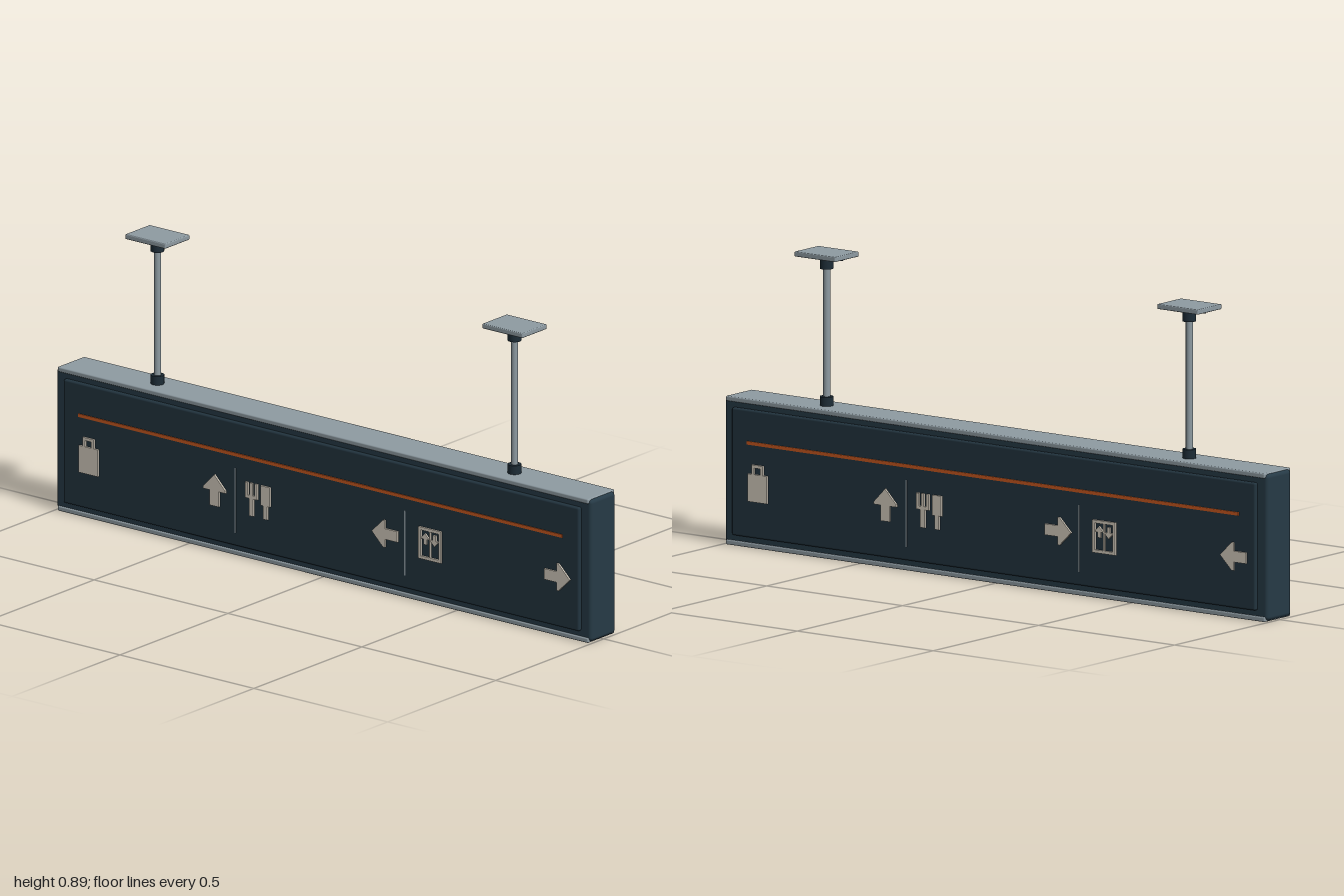
import * as THREE from 'three';
import { RoundedBoxGeometry } from 'three/addons/geometries/RoundedBoxGeometry.js';

const mat = (name, color) => Object.assign(new THREE.MeshStandardMaterial({ color }), { name });

export function createModel() {
  const navy = mat('navy casing', 0x263a46);
  const panelNavy = mat('panel navy', 0x22343f);
  const dark = mat('dark fittings', 0x1d2c36);
  const silver = mat('brushed silver', 0x8e9ba2);
  const cream = mat('cream pictogram', 0xd5cdbf);
  const orange = mat('orange stripe', 0xc8581f);

  const sign = new THREE.Group();
  sign.name = 'hangingSign';

  const add = (parent, name, geometry, material, x = 0, y = 0, z = 0) => {
    const mesh = new THREE.Mesh(geometry, material);
    mesh.name = name;
    mesh.position.set(x, y, z);
    parent.add(mesh);
    return mesh;
  };
  const group = (parent, name) => {
    const g = new THREE.Group();
    g.name = name;
    parent.add(g);
    return g;
  };

  // Casing with silver rails along its top and bottom
  add(sign, 'casing', new RoundedBoxGeometry(2, 0.434, 0.114, 3, 0.012), navy, 0, 0.22, 0);
  for (const [name, y] of [['bottomRail', 0.0075], ['topRail', 0.4325]]) {
    add(sign, name, new RoundedBoxGeometry(1.982, 0.015, 0.124, 2, 0.004), silver, 0, y, 0);
  }

  // Flat bar given by its edges, resting on the panel face
  const bar = (parent, name, x0, x1, y0, y1, material = cream, top = 0.076) =>
    add(parent, name, new THREE.BoxGeometry(x1 - x0, y1 - y0, top - 0.068), material,
      (x0 + x1) / 2, (y0 + y1) / 2, (top + 0.068) / 2);

  // Arrow pointing up at zero turn
  const arrow = (parent, name, x, y, size, turn) => {
    const shape = new THREE.Shape([
      [0, 0.5], [0.43, 0.06], [0.43, -0.02], [0.17, -0.02], [0.17, -0.5],
      [-0.17, -0.5], [-0.17, -0.02], [-0.43, -0.02], [-0.43, 0.06],
    ].reverse().map(([u, v]) => new THREE.Vector2(u * size, v * size)));
    const geometry = new THREE.ExtrudeGeometry(shape, { depth: 0.008, bevelEnabled: false });
    add(parent, name, geometry, cream, x, y, 0.068).rotation.z = turn;
  };

  // Both faces read alike; only the side arrows swap direction on the back
  for (const side of [1, -1]) {
    const face = group(sign, side > 0 ? 'frontFace' : 'backFace');
    if (side < 0) face.rotation.y = Math.PI;

    add(face, 'panel', new RoundedBoxGeometry(1.926, 0.378, 0.016, 3, 0.006), panelNavy, 0, 0.221, 0.062);
    bar(face, 'stripe', -0.905, 0.903, 0.307, 0.317, orange, 0.073);
    for (const x of [-0.319, 0.315]) bar(face, 'divider', x - 0.002, x + 0.002, 0.072, 0.27, silver, 0.072);

    // Luggage
    const bag = group(face, 'bagIcon');
    bar(bag, 'bagBody', -0.9, -0.829, 0.14, 0.222);
    bar(bag, 'handleLeft', -0.885, -0.876, 0.222, 0.25);
    bar(bag, 'handleRight', -0.853, -0.844, 0.222, 0.25);
    bar(bag, 'handleTop', -0.876, -0.853, 0.241, 0.25);

    // Fork and knife
    const cutlery = group(face, 'cutleryIcon');
    for (const x of [-0.274, -0.256, -0.238]) bar(cutlery, 'tine', x - 0.005, x + 0.005, 0.2, 0.238);
    bar(cutlery, 'forkBase', -0.279, -0.233, 0.19, 0.2);
    bar(cutlery, 'forkHandle', -0.264, -0.248, 0.137, 0.19);
    bar(cutlery, 'knifeBlade', -0.221, -0.187, 0.178, 0.238);
    bar(cutlery, 'knifeHandle', -0.212, -0.196, 0.137, 0.178);

    // Lift
    const lift = group(face, 'liftIcon');
    bar(lift, 'liftLeft', 0.368, 0.377, 0.137, 0.234);
    bar(lift, 'liftRight', 0.444, 0.453, 0.137, 0.234);
    bar(lift, 'liftTop', 0.377, 0.444, 0.225, 0.234);
    bar(lift, 'liftBottom', 0.377, 0.444, 0.137, 0.146);
    bar(lift, 'doorGap', 0.408, 0.413, 0.146, 0.225);
    arrow(lift, 'liftUp', 0.393, 0.2, 0.034, 0);
    arrow(lift, 'liftDown', 0.428, 0.2, 0.034, Math.PI);

    // Direction arrows
    arrow(face, 'upArrow', -0.394, 0.188, 0.096, 0);
    arrow(face, 'innerArrow', 0.242, 0.185, 0.096, side * Math.PI / 2);
    arrow(face, 'outerArrow', 0.886, 0.185, 0.096, -side * Math.PI / 2);
  }

  // Ceiling hangers
  for (const x of [-0.667, 0.667]) {
    const hanger = group(sign, x < 0 ? 'rightHanger' : 'leftHanger');
    hanger.position.x = x;
    add(hanger, 'rod', new THREE.CylinderGeometry(0.0105, 0.0105, 0.45, 20), silver, 0, 0.66, 0);
    add(hanger, 'lowerCollar', new THREE.CylinderGeometry(0.02, 0.02, 0.032, 24), dark, 0, 0.451, 0);
    add(hanger, 'upperCollar', new THREE.CylinderGeometry(0.02, 0.02, 0.038, 24), dark, 0, 0.864, 0);
    add(hanger, 'ceilingPlate', new RoundedBoxGeometry(0.15, 0.015, 0.114, 2, 0.003), silver, 0, 0.8875, 0);
    for (const bx of [-0.05, 0.05]) {
      add(hanger, 'bolt', new THREE.CylinderGeometry(0.009, 0.009, 0.008, 12), dark, bx, 0.878, 0);
    }
  }
  return sign;
}
